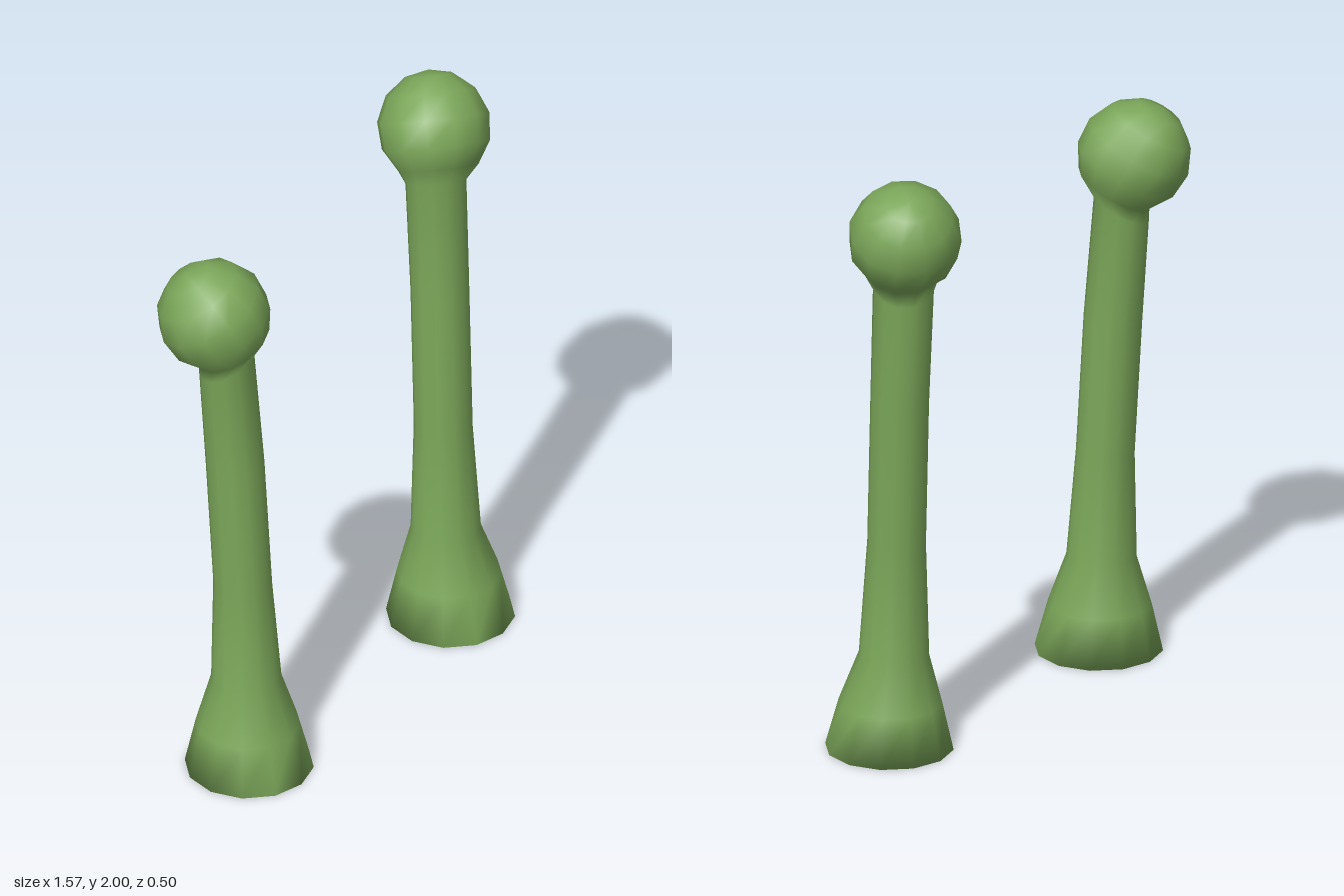
import * as THREE from 'three';

const SIDES = 12;
const BALL_R = 0.187;

// Smooth closed skin through a stack of rings, with a tip on top and a cap below
function loft(rings, tip) {
  const pos = [], index = [];
  const up = new THREE.Vector3(0, 1, 0);
  for (const { center, r, axis } of rings) {
    const q = new THREE.Quaternion().setFromUnitVectors(up, axis);
    for (let i = 0; i < SIDES; i++) {
      const a = (i / SIDES) * Math.PI * 2;
      const p = new THREE.Vector3(Math.sin(a) * r, 0, Math.cos(a) * r).applyQuaternion(q).add(center);
      pos.push(p.x, p.y, p.z);
    }
  }
  pos.push(tip.x, tip.y, tip.z);
  const last = (rings.length - 1) * SIDES;
  for (let i = 0; i < SIDES; i++) {
    const j = (i + 1) % SIDES;
    for (let k = 0; k < last; k += SIDES) {
      index.push(k + i, k + j, k + SIDES + j, k + i, k + SIDES + j, k + SIDES + i);
    }
    index.push(last + i, last + j, last + SIDES);
  }
  for (let i = 1; i < SIDES - 1; i++) index.push(0, i + 1, i);
  const geo = new THREE.BufferGeometry();
  geo.setAttribute('position', new THREE.Float32BufferAttribute(pos, 3));
  geo.setIndex(index);
  geo.computeVertexNormals();
  return geo;
}

// One leaning stalk: flared foot, slim stem, ball on a tilted neck
function stalkGeometry(side, drop) {
  const V = (x, y, z) => new THREE.Vector3(x * side, y, z);
  const neckAxis = V(0.33, 0.88, -0.37).normalize();
  // x, y, z, radius, tilt
  const stem = [
    [0.55, 0, 0.04, 0.21, 0],
    [0.55, 0.16, 0.035, 0.17, 0],
    [0.545, 0.33, 0.025, 0.115, 0],
    [0.548, 0.72, 0.012, 0.096, 0.05],
    [0.56, 1.22, -0.01, 0.096, 0.15],
    [0.572, 1.63, -0.035, 0.1, 0.9],
  ];
  const rings = stem.map(([x, y, z, r, tilt]) => ({
    center: V(x, y - drop * Math.max(0, (y - 0.33) / 1.3), z),
    r,
    axis: new THREE.Vector3(0, 1, 0).lerp(neckAxis, tilt).normalize(),
  }));
  // Ball rings by latitude
  const ball = V(0.602, 1.814 - drop, -0.064);
  for (const deg of [-45, -18, 10, 38, 65]) {
    const a = THREE.MathUtils.degToRad(deg);
    rings.push({
      center: ball.clone().addScaledVector(neckAxis, Math.sin(a) * BALL_R),
      r: Math.cos(a) * BALL_R,
      axis: neckAxis,
    });
  }
  return loft(rings, ball.clone().addScaledVector(neckAxis, BALL_R));
}

export function createModel() {
  const group = new THREE.Group();
  group.name = 'eyeStalks';
  const green = new THREE.MeshStandardMaterial({ color: 0x7ba659 });
  for (const [name, side, drop] of [['leftStalk', 1, 0], ['rightStalk', -1, 0.09]]) {
    const mesh = new THREE.Mesh(stalkGeometry(side, drop), green);
    mesh.name = name;
    group.add(mesh);
  }
  return group;
}
